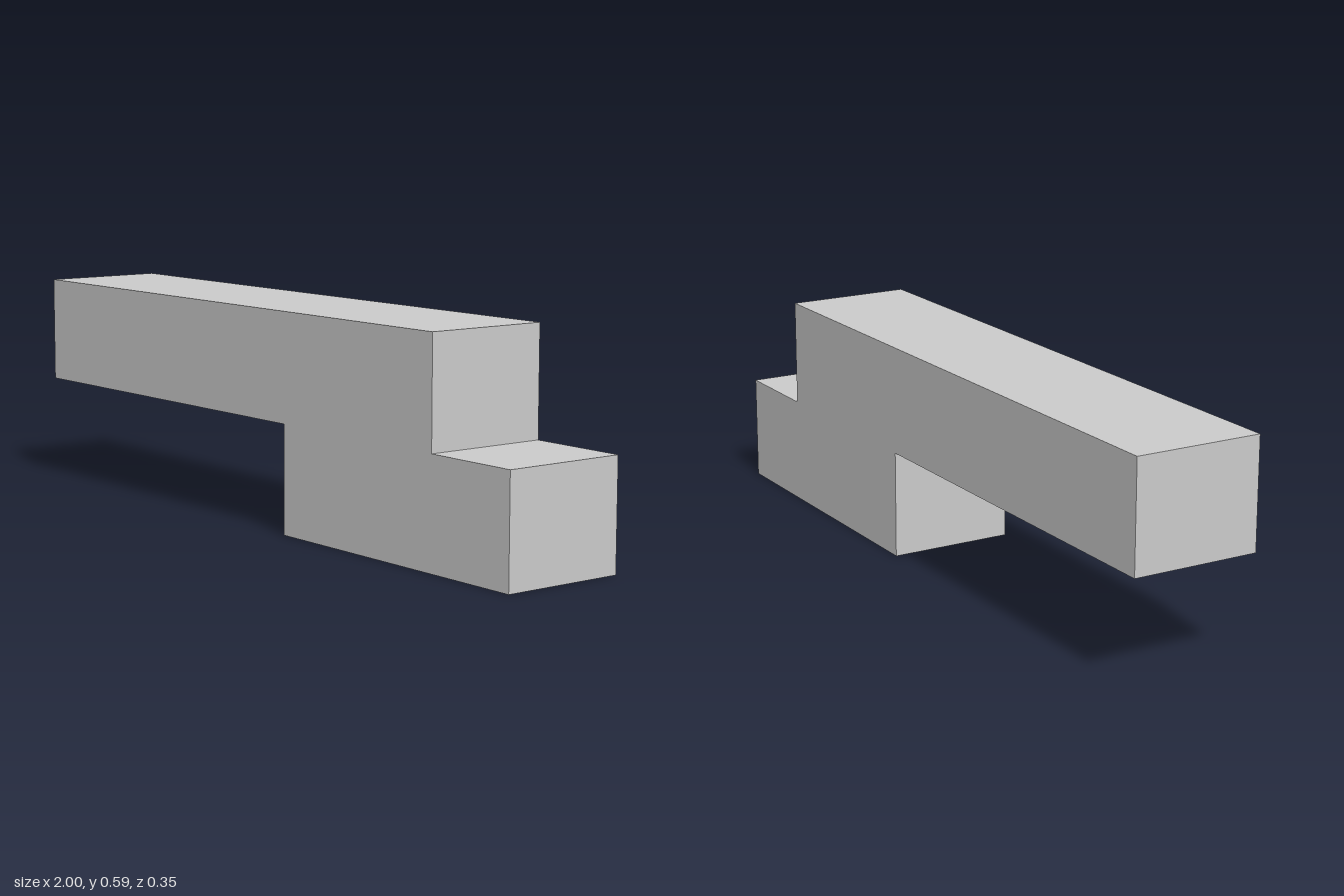
import * as THREE from 'three';

const DEPTH = 0.346;
const STEP = 0.293; // height of each of the two levels

export function createModel() {
  const group = new THREE.Group();
  group.name = 'steppedBlock';

  // Side profile: long upper beam overlapping a short lower foot
  const profile = new THREE.Shape([
    [0.134, 0], [1, 0], [1, STEP], [0.722, STEP],
    [0.722, 2 * STEP], [-1, 2 * STEP], [-1, STEP], [0.134, STEP],
  ].map(([x, y]) => new THREE.Vector2(x, y)));

  const geometry = new THREE.ExtrudeGeometry(profile, { depth: DEPTH, bevelEnabled: false });
  geometry.translate(0, 0, -DEPTH / 2);

  const body = new THREE.Mesh(
    geometry,
    new THREE.MeshStandardMaterial({ color: 0xcccccc, flatShading: true })
  );
  body.name = 'beamAndFoot';
  group.add(body);
  return group;
}
